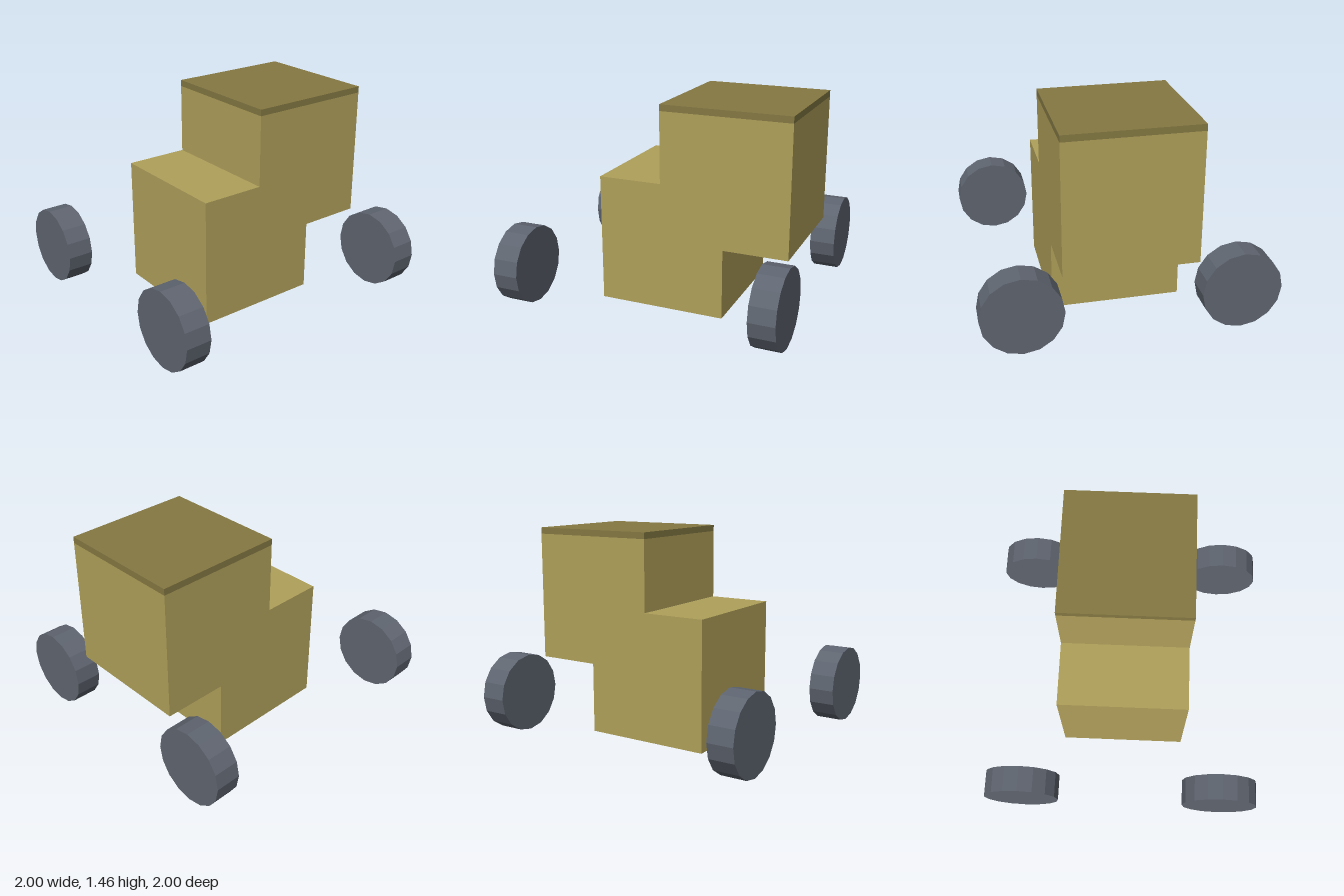
import * as THREE from 'three';

const paint = (color) => new THREE.MeshStandardMaterial({ color, flatShading: true });

export function createModel() {
  const group = new THREE.Group();
  const bodyPaint = paint(0xb0a05a);
  const roofPaint = paint(0x847842);
  const wheelPaint = paint(0x5f6570);
  const width = 0.91;

  function addBox(name, height, y, z, material) {
    const mesh = new THREE.Mesh(new THREE.BoxGeometry(width, height, width), material);
    mesh.name = name;
    mesh.position.set(0, y + height / 2, z);
    group.add(mesh);
  }

  // Cubic body, with the cab set back by half its depth and a thin roof on it
  addBox('body', 0.91, 0, 0, bodyPaint);
  addBox('cab', 0.91, 0.5, -0.455, bodyPaint);
  addBox('roof', 0.045, 1.41, -0.455, roofPaint);

  // Four free-standing wheels, axles along z
  const wheelGeometry = new THREE.CylinderGeometry(0.273, 0.273, 0.18, 16).rotateX(Math.PI / 2);
  for (const [zName, z] of [['front', 0.91], ['back', -0.91]]) {
    for (const [xName, x] of [['Left', 0.727], ['Right', -0.727]]) {
      const wheel = new THREE.Mesh(wheelGeometry, wheelPaint);
      wheel.name = `${zName}${xName}Wheel`;
      wheel.position.set(x, 0.3, z);
      group.add(wheel);
    }
  }

  return group;
}
